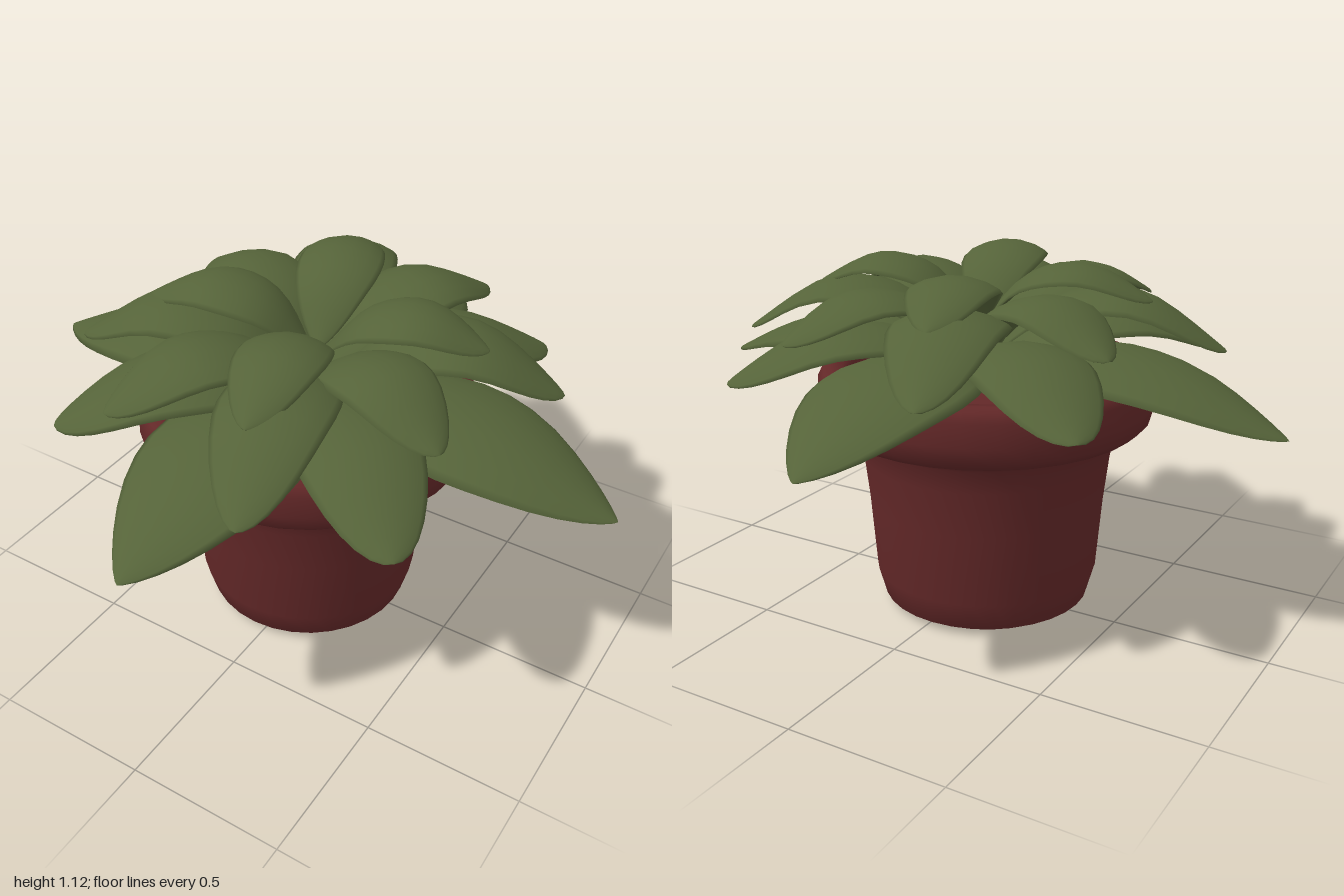
import * as THREE from 'three';

const SECTIONS = 18, AROUND = 14;

// Arched leaf along +x: closed oval rings, domed across, tapering to both ends.
// heights are the midrib heights at 0, 0.3, 0.62 and 1 of the length.
function leafGeometry(length, halfWidth, heights, bluntness) {
  const stops = [0.03, 0.3, 0.62, 1];
  const midrib = new THREE.CatmullRomCurve3(
    stops.map((s, i) => new THREE.Vector3(s * length, heights[i], 0)));
  const pos = [], index = [];
  for (let i = 0; i <= SECTIONS; i++) {
    const t = (1 - Math.cos(Math.PI * i / SECTIONS)) / 2;
    const p = midrib.getPoint(t);
    const taper = Math.pow(Math.max(0, Math.sin(Math.PI * Math.pow(t, 1.15))), bluntness);
    const w = Math.max(halfWidth * taper, 0.0005);
    const thick = 0.017 * Math.pow(taper, 0.6);
    for (let j = 0; j < AROUND; j++) {
      const a = 2 * Math.PI * j / AROUND, c = Math.cos(a);
      pos.push(p.x, p.y + thick * Math.sin(a) - 0.22 * w * c * c, w * c);
      const k = (j + 1) % AROUND, r = i * AROUND;
      if (i < SECTIONS) {
        index.push(r + j, r + AROUND + j, r + k, r + k, r + AROUND + j, r + AROUND + k);
      }
    }
  }
  const g = new THREE.BufferGeometry();
  g.setAttribute('position', new THREE.Float32BufferAttribute(pos, 3));
  g.setIndex(index);
  g.computeVertexNormals();
  return g;
}

// Leaf tiers from lowest to highest; tips are [x, z]
const TIERS = [
  { name: 'outerLeaf', width: 0.245, blunt: 0.8, heights: [0.72, 0.87, 0.855, 0.70],
    tips: [[1, 0.01], [-1, 0.01], [-0.02, 0.95], [-0.02, -0.95]] },
  { name: 'diagonalLeaf', width: 0.19, blunt: 0.55, heights: [0.74, 0.9, 0.92, 0.79],
    tips: [[0.6, 0.58], [-0.62, -0.55], [0.51, -0.6], [-0.55, 0.59]] },
  { name: 'middleLeaf', width: 0.17, blunt: 0.62, heights: [0.8, 0.99, 1.03, 0.87],
    tips: [[0.71, -0.25], [-0.73, 0.23], [-0.26, -0.75], [0.24, 0.77]] },
  { name: 'shortMiddleLeaf', width: 0.155, blunt: 0.6, heights: [0.82, 1.0, 1.05, 0.94],
    tips: [[0.57, 0.29], [-0.58, -0.29], [0.28, -0.61], [-0.31, 0.62]] },
  { name: 'topLeaf', width: 0.135, blunt: 0.65, heights: [0.92, 1.07, 1.105, 1.02],
    tips: [[0.51, -0.13], [-0.53, 0.12], [-0.16, -0.54], [0.13, 0.56]] },
];

export function createModel() {
  const model = new THREE.Group();
  const terracotta = new THREE.MeshStandardMaterial({ name: 'dark terracotta', color: 0x632828 });
  const green = new THREE.MeshStandardMaterial({ name: 'leaf green', color: 0x556339 });

  // Pot: tapered wall, rolled rim, sunken inner floor
  const profile = [
    [0, 0.005], [0.3, 0.01], [0.335, 0.03], [0.36, 0.12], [0.378, 0.35], [0.395, 0.5],
    [0.41, 0.575], [0.435, 0.6], [0.49, 0.612], [0.52, 0.64], [0.533, 0.69],
    [0.53, 0.76], [0.515, 0.79], [0.49, 0.8], [0.45, 0.795], [0.435, 0.77],
    [0.425, 0.69], [0, 0.69],
  ].map(([r, y]) => new THREE.Vector2(r, y));
  const pot = new THREE.Mesh(new THREE.LatheGeometry(profile, 32), terracotta);
  pot.name = 'pot';
  pot.position.x = -0.03;
  model.add(pot);

  // Rosette of leaves
  const rosette = new THREE.Group();
  rosette.name = 'rosette';
  for (const tier of TIERS) {
    for (const [x, z] of tier.tips) {
      const leaf = new THREE.Mesh(
        leafGeometry(Math.hypot(x, z), tier.width, tier.heights, tier.blunt), green);
      leaf.name = tier.name;
      leaf.rotation.y = Math.atan2(-z, x);
      rosette.add(leaf);
    }
  }
  model.add(rosette);
  return model;
}
